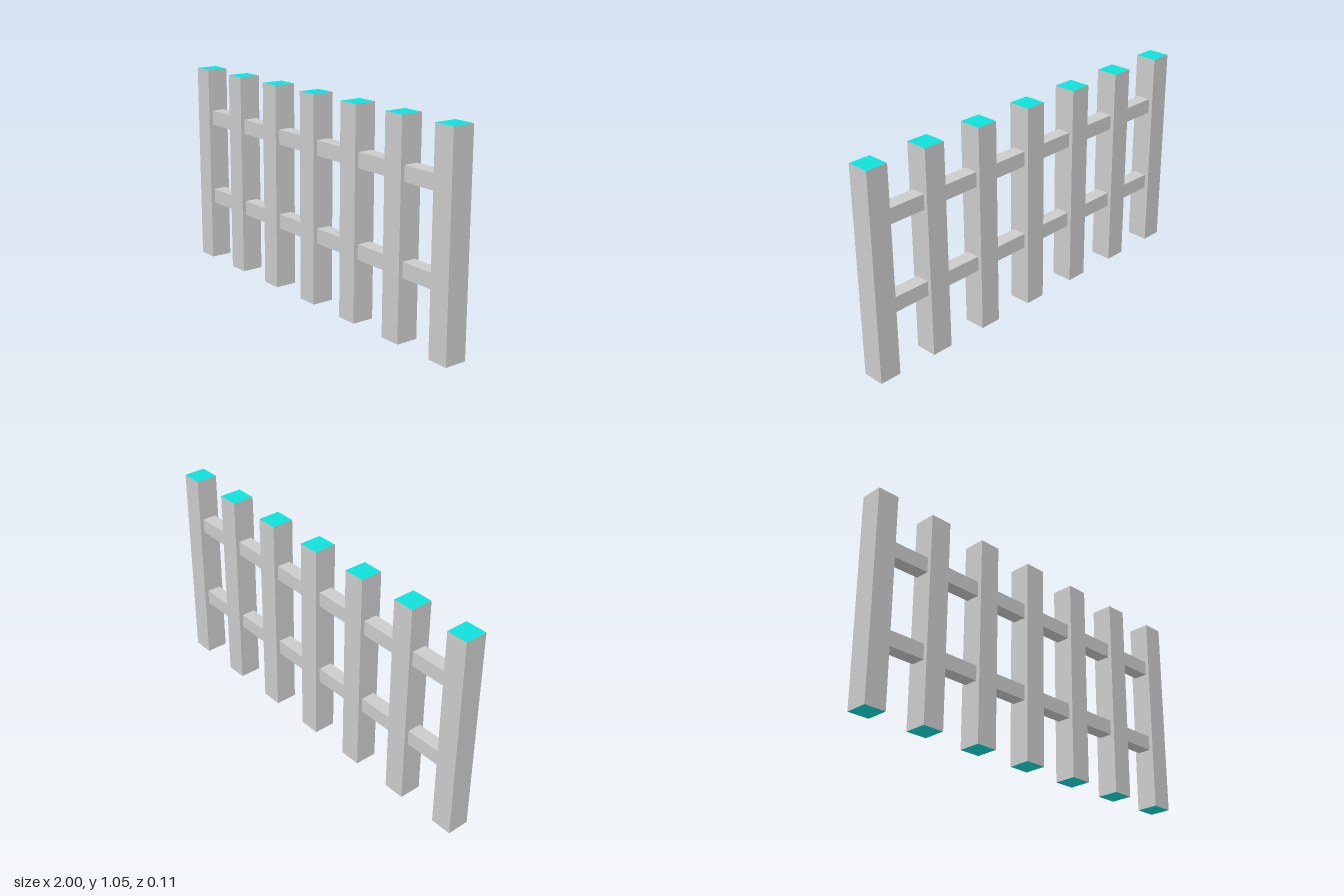
import * as THREE from 'three';

const POSTS = 7, WIDTH = 0.11, DEPTH = 0.114, HEIGHT = 1.05;
const SPACING = (2 - WIDTH) / (POSTS - 1);
const RAIL_HEIGHT = 0.076, RAIL_DEPTH = 0.072;

export function createModel() {
  const fence = new THREE.Group();
  fence.name = 'fence';
  const grey = new THREE.MeshStandardMaterial({ color: 0xcccccc });
  const cyan = new THREE.MeshStandardMaterial({ color: 0x10e0da });

  // Square posts with coloured top and bottom ends
  const postGeometry = new THREE.BoxGeometry(WIDTH, HEIGHT, DEPTH);
  const postMaterials = [grey, grey, cyan, cyan, grey, grey];
  // Short rails spanning the gap between neighbouring posts
  const railGeometry = new THREE.BoxGeometry(SPACING - WIDTH, RAIL_HEIGHT, RAIL_DEPTH);

  for (let i = 0; i < POSTS; i++) {
    const x = (i - (POSTS - 1) / 2) * SPACING;
    const post = new THREE.Mesh(postGeometry, postMaterials);
    post.name = `post${i + 1}`;
    post.position.set(x, HEIGHT / 2, 0);
    fence.add(post);

    if (i === POSTS - 1) break;
    for (const [name, y] of [['lowerRail', 0.351], ['upperRail', 0.79]]) {
      const rail = new THREE.Mesh(railGeometry, grey);
      rail.name = `${name}${i + 1}`;
      rail.position.set(x + SPACING / 2, y, 0);
      fence.add(rail);
    }
  }
  return fence;
}
